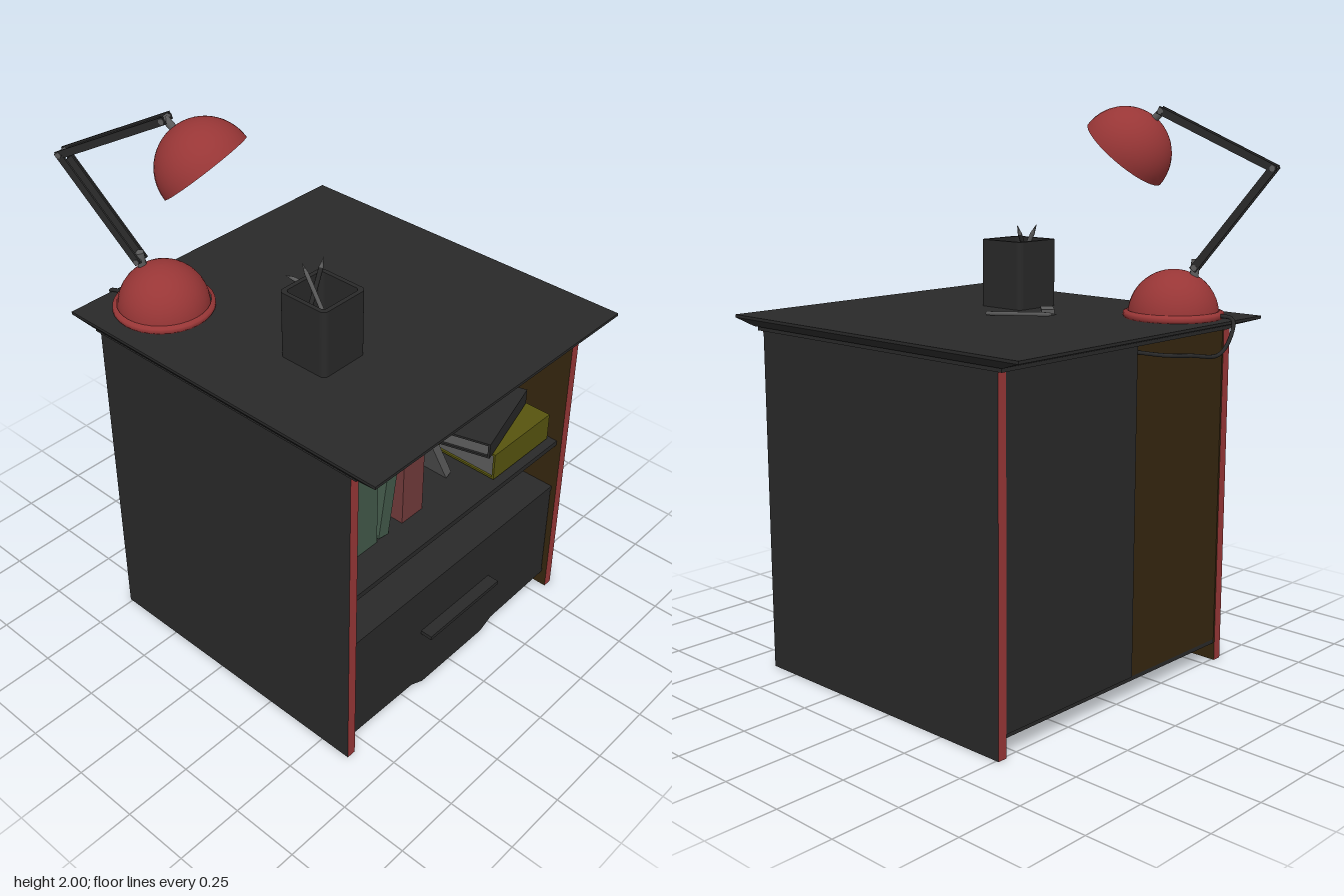
import * as THREE from 'three';

const V = (x, y, z) => new THREE.Vector3(x, y, z);
const UP = V(0, 1, 0);

export function createModel() {
  const model = new THREE.Group();
  const mat = (name, color, side = THREE.FrontSide) => {
    const m = new THREE.MeshStandardMaterial({ color, side });
    m.name = name;
    return m;
  };
  const black = mat('charcoal', 0x292929, THREE.DoubleSide);
  const red = mat('lampRed', 0x983636, THREE.DoubleSide);
  const brown = mat('darkWood', 0x35260f);
  const green = mat('bookGreen', 0x42594a);
  const rose = mat('bookRose', 0x713a3a);
  const yellow = mat('bookYellow', 0x57540f);
  const grey = mat('grey', 0x5c5c5c);

  const add = (name, geo, material, parent = model) => {
    const m = new THREE.Mesh(geo, material);
    m.name = name;
    parent.add(m);
    return m;
  };
  // box given by its limits on each axis
  const block = (name, [x0, x1], [y0, y1], [z0, z1], material, parent) => {
    const m = add(name, new THREE.BoxGeometry(x1 - x0, y1 - y0, z1 - z0), material, parent);
    m.position.set((x0 + x1) / 2, (y0 + y1) / 2, (z0 + z1) / 2);
    return m;
  };
  const group = (name, parent = model) => {
    const g = new THREE.Group();
    g.name = name;
    parent.add(g);
    return g;
  };
  // stands an upright part between two points
  const between = (obj, a, b) => {
    obj.position.copy(a).add(b).multiplyScalar(0.5);
    obj.quaternion.setFromUnitVectors(UP, b.clone().sub(a).normalize());
    return obj;
  };

  // ---- cabinet: open face toward +x ----
  const cabinet = group('cabinet');
  for (const s of [1, -1]) {
    const faces = [red, red, black, black, s > 0 ? black : brown, s > 0 ? brown : black];
    block('sidePanel', [-0.51, 0.62], [0, 1.24], s > 0 ? [0.555, 0.59] : [-0.59, -0.555], faces, cabinet);
  }
  block('backPanel', [-0.505, -0.485], [0.08, 1.24], [-0.555, 0.555], brown, cabinet);
  block('backCover', [-0.51, -0.505], [0.08, 1.24], [-0.555, 0.07], black, cabinet);
  block('floor', [-0.505, 0.59], [0.065, 0.08], [-0.555, 0.555], black, cabinet);
  block('shelf', [-0.485, 0.6], [0.685, 0.705], [-0.555, 0.555], black, cabinet);
  block('drawerTop', [-0.485, 0.6], [0.475, 0.492], [-0.555, 0.555], black, cabinet);
  block('drawerFront', [0.58, 0.6], [0.08, 0.492], [-0.55, 0.55], black, cabinet);
  block('handle', [0.6, 0.645], [0.28, 0.295], [-0.19, 0.19], black, cabinet);
  block('topEdgeStrip', [0.612, 0.622], [1.23, 1.24], [-0.59, -0.12], red, cabinet);

  // shaped skirt under the drawer
  const skirt = new THREE.Shape([[-0.555, 0.08], [-0.555, 0.065], [-0.23, 0.056], [-0.17, 0.028],
    [0.17, 0.028], [0.23, 0.056], [0.555, 0.065], [0.555, 0.08]].map(p => new THREE.Vector2(...p)));
  const skirtMesh = add('skirt', new THREE.ExtrudeGeometry(skirt, { depth: 0.02, bevelEnabled: false }).rotateY(Math.PI / 2), black, cabinet);
  skirtMesh.position.x = 0.58;

  // table top with a tapered underside
  block('tableTop', [-0.62, 0.74], [1.275, 1.285], [-0.62, 0.62], black, cabinet);
  const taper = new THREE.BoxGeometry(1.36, 0.025, 1.24);
  const tp = taper.attributes.position;
  for (let i = 0; i < tp.count; i++) {
    if (tp.getY(i) < 0) tp.setXYZ(i, tp.getX(i) * 0.88, tp.getY(i), tp.getZ(i) * 0.97);
  }
  taper.computeVertexNormals();
  add('tableTopMoulding', taper, black, cabinet).position.set(0.06, 1.2625, 0);
  block('tableTopBase', [-0.53, 0.645], [1.236, 1.25], [-0.595, 0.595], black, cabinet);

  // ---- books: spine toward +x, origin at the bottom centre ----
  const books = group('books');
  const book = (name, t, h, d, cover) => {
    const g = group(name, books);
    for (const s of [1, -1]) {
      const z = s * (t / 2 - 0.004);
      block('cover', [-d / 2, d / 2 - 0.008], [0, h], [z - 0.004, z + 0.004], cover, g);
    }
    block('spine', [d / 2 - 0.008, d / 2], [0, h], [-t / 2, t / 2], cover, g);
    block('pages', [-d / 2 + 0.01, d / 2 - 0.008], [0.008, h - 0.008], [-t / 2 + 0.008, t / 2 - 0.008], grey, g);
    return g;
  };
  const shelfY = 0.706;
  const blackBook = book('blackBook', 0.095, 0.44, 0.32, black);
  blackBook.position.set(0.32, shelfY, 0.458);
  block('redLabel', [0.16, 0.163], [0.23, 0.28], [0.025, 0.042], red, blackBook);
  block('greyLabel', [0.16, 0.163], [0.12, 0.22], [0.03, 0.04], grey, blackBook);
  book('greenBook', 0.105, 0.44, 0.32, green).position.set(0.32, shelfY, 0.352);
  const lean = book('leaningGreenBook', 0.05, 0.435, 0.32, green);
  lean.position.set(0.32, shelfY + 0.004, 0.266);
  lean.rotation.x = -0.15;
  book('roseBook', 0.105, 0.44, 0.32, rose).position.set(0.32, shelfY, 0.118);
  const leanGrey = book('leaningGreyBook', 0.03, 0.43, 0.28, grey);
  leanGrey.position.set(0.3, shelfY + 0.008, -0.128);
  leanGrey.rotation.x = 0.44;

  // stacked flat books, turned a little
  const lying = (name, t, h, d, cover, x, y, z, turn) => {
    const g = book(name, t, h, d, cover);
    g.rotation.set(-Math.PI / 2, 0, turn, 'YXZ');
    const off = V(0, h / 2, 0).applyEuler(g.rotation);
    g.position.set(x, y + t / 2, z).sub(off);
  };
  lying('yellowBook', 0.108, 0.32, 0.26, yellow, 0.44, shelfY + 0.006, -0.375, 0);
  lying('topBook', 0.06, 0.36, 0.25, black, 0.4, 0.825, -0.32, 0.28);

  // ---- desk lamp ----
  const lamp = group('lamp');
  const dome = (r, a0, a1, n) => Array.from({ length: n + 1 }, (_, i) => {
    const a = a0 + (a1 - a0) * i / n;
    return new THREE.Vector2(Math.max(r * Math.cos(a), 0), r * Math.sin(a));
  });
  const foot = [[0, 0], [0.17, 0], [0.175, 0.008], [0.174, 0.02], [0.16, 0.026]].map(p => new THREE.Vector2(...p));
  add('lampFoot', new THREE.LatheGeometry(foot, 32), red, lamp).position.set(-0.413, 1.285, 0.387);
  add('lampBaseDome', new THREE.LatheGeometry(dome(0.158, 0, Math.PI / 2, 12), 32), red, lamp).position.set(-0.413, 1.293, 0.387);

  const hip = V(-0.48, 1.46, 0.42), elbow = V(-0.725, 1.8, 0.505), wrist = V(-0.365, 1.985, 0.365);
  between(add('lampPost', new THREE.CylinderGeometry(0.015, 0.015, 0.09, 12), grey, lamp), V(-0.478, 1.4, 0.41), V(-0.48, 1.485, 0.42));
  // channel shaped arm, its width kept level
  const side = V(0.36, 0, 0.94).normalize();
  const arm = (name, a, b) => {
    const g = group(name, lamp);
    const dir = b.clone().sub(a), len = dir.length();
    dir.normalize();
    const w = side.clone().addScaledVector(dir, -side.dot(dir)).normalize();
    g.quaternion.setFromRotationMatrix(new THREE.Matrix4().makeBasis(w.clone().cross(dir).negate().negate(), dir, w.clone()).transpose().transpose());
    g.quaternion.setFromRotationMatrix(new THREE.Matrix4().makeBasis(dir.clone().cross(w), dir, w));
    g.position.copy(a).add(b).multiplyScalar(0.5);
    for (const s of [1, -1]) {
      add('armRail', new THREE.BoxGeometry(0.026, len + 0.02, 0.007), black, g).position.z = s * 0.022;
    }
    add('armWeb', new THREE.BoxGeometry(0.014, len - 0.05, 0.04), black, g);
  };
  arm('lowerArm', hip, elbow);
  arm('upperArm', elbow, wrist);
  for (const p of [hip, elbow, wrist]) {
    between(add('lampHinge', new THREE.CylinderGeometry(0.01, 0.01, 0.056, 12), grey, lamp),
      p.clone().addScaledVector(side, -0.028), p.clone().addScaledVector(side, 0.028));
  }

  // shade: local +y runs from the opening to the crown
  const shade = group('shade', lamp);
  shade.position.set(-0.24, 1.84, 0.32);
  shade.quaternion.setFromUnitVectors(UP, V(-0.61, 0.76, 0.22).normalize());
  add('shadeBowl', new THREE.LatheGeometry(dome(0.162, 0, Math.PI / 2, 14), 36), red, shade);
  add('bulb', new THREE.SphereGeometry(0.048, 20, 14), grey, shade).position.y = 0.045;
  add('socket', new THREE.CylinderGeometry(0.028, 0.028, 0.08, 16), black, shade).position.y = 0.115;
  between(add('shadeBracket', new THREE.CylinderGeometry(0.013, 0.013, 0.05, 12), grey, lamp), V(-0.335, 1.955, 0.355), wrist);

  // power cord over the edge and into the back
  const cord = new THREE.CatmullRomCurve3([V(-0.56, 1.3, 0.43), V(-0.62, 1.292, 0.445), V(-0.637, 1.25, 0.42),
    V(-0.65, 1.188, 0.33), V(-0.635, 1.2, 0.19), V(-0.6, 1.208, 0.1), V(-0.505, 1.21, 0.075)]);
  add('cord', new THREE.TubeGeometry(cord, 40, 0.007, 8), black, lamp);

  // ---- pencil cup ----
  const roundSquare = (Type, h, r) => {
    const s = new Type();
    s.absarc(h - r, h - r, r, 0, Math.PI / 2);
    s.absarc(r - h, h - r, r, Math.PI / 2, Math.PI);
    s.absarc(r - h, r - h, r, Math.PI, Math.PI * 1.5);
    s.absarc(h - r, r - h, r, Math.PI * 1.5, Math.PI * 2);
    s.closePath();
    return s;
  };
  const cup = group('pencilCup');
  cup.position.set(0.175, 1.285, 0.232);
  const extrude = (shape, depth) => new THREE.ExtrudeGeometry(shape, { depth, bevelEnabled: false, curveSegments: 5 }).rotateX(-Math.PI / 2);
  const wall = roundSquare(THREE.Shape, 0.098, 0.02);
  wall.holes.push(roundSquare(THREE.Path, 0.082, 0.014));
  add('cupWall', extrude(wall, 0.243), black, cup);
  add('cupBottom', extrude(roundSquare(THREE.Shape, 0.09, 0.018), 0.012), black, cup);

  // ---- pencils, pen and eraser ----
  const pencil = (name, a, b, material) => {
    const len = a.distanceTo(b), g = between(group(name), a, b);
    add('pencilBody', new THREE.CylinderGeometry(0.008, 0.008, len - 0.035, 6), material, g).position.y = -0.0175;
    add('pencilTip', new THREE.CylinderGeometry(0.001, 0.008, 0.035, 6), grey, g).position.y = len / 2 - 0.0175;
  };
  pencil('cupPencil', V(0.125, 1.3, 0.295), V(0.105, 1.585, 0.15), black);
  pencil('cupPencil', V(0.235, 1.3, 0.21), V(0.083, 1.585, 0.226), grey);
  pencil('deskPen', V(0.08, 1.293, -0.032), V(-0.22, 1.315, -0.004), grey);
  const eraser = add('eraser', new THREE.BoxGeometry(0.09, 0.022, 0.045), grey);
  eraser.position.set(-0.048, 1.296, 0.14);
  eraser.rotation.y = -0.78;

  return model;
}
